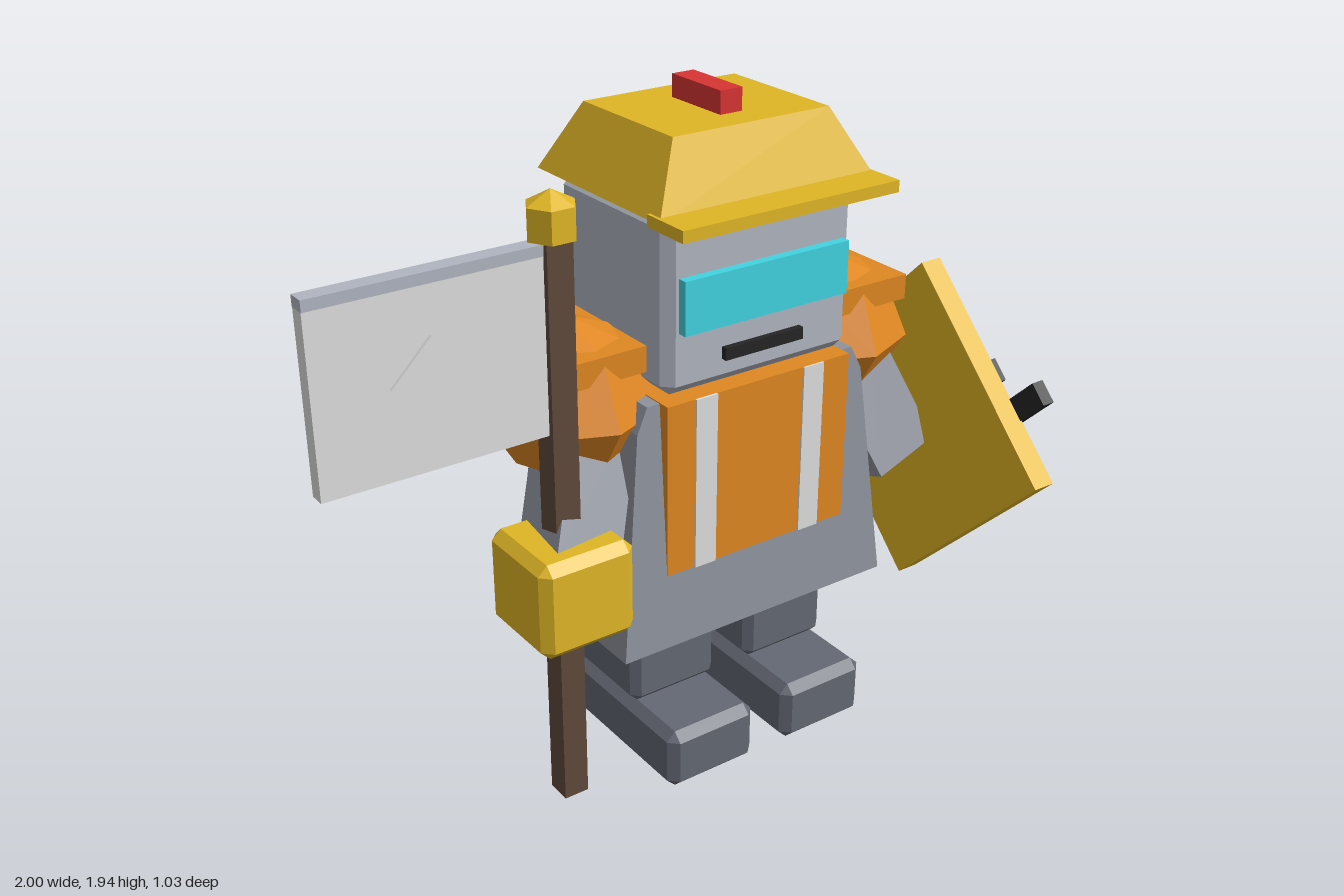
import * as THREE from 'three';
import { ConvexGeometry } from 'three/addons/geometries/ConvexGeometry.js';

const CX = 0.27, CZ = -0.22; // centre of the body, offset by the flag

function mat(name, color, side = THREE.FrontSide) {
  const m = new THREE.MeshStandardMaterial({ color, side, flatShading: true });
  m.name = name;
  return m;
}

// Box given by its limits on each axis
function box(x0, x1, y0, y1, z0, z1) {
  return new THREE.BoxGeometry(x1 - x0, y1 - y0, z1 - z0)
    .translate((x0 + x1) / 2, (y0 + y1) / 2, (z0 + z1) / 2);
}

// Box with all edges chamfered by b
function chamferBox(x0, x1, y0, y1, z0, z1, b) {
  const w = (x1 - x0) / 2, h = (y1 - y0) / 2, d = (z1 - z0) / 2, pts = [];
  for (const i of [-1, 1]) for (const j of [-1, 1]) for (const k of [-1, 1]) {
    pts.push(new THREE.Vector3(i * w, j * (h - b), k * (d - b)));
    pts.push(new THREE.Vector3(i * (w - b), j * h, k * (d - b)));
    pts.push(new THREE.Vector3(i * (w - b), j * (h - b), k * d));
  }
  return new ConvexGeometry(pts).translate((x0 + x1) / 2, (y0 + y1) / 2, (z0 + z1) / 2);
}

// Rectangular shell through levels [y, halfX, halfZ], closed on top, open below
function shell(levels, cx, cz) {
  const pos = [];
  const corner = ([y, w, d], i) => [cx + [-w, w, w, -w][i % 4], y, cz + [d, d, -d, -d][i % 4]];
  const quad = (a, b, c, d) => pos.push(...a, ...b, ...c, ...a, ...c, ...d);
  for (let l = 0; l < levels.length - 1; l++) {
    for (let i = 0; i < 4; i++) {
      quad(corner(levels[l], i), corner(levels[l], i + 1),
        corner(levels[l + 1], i + 1), corner(levels[l + 1], i));
    }
  }
  const top = levels[levels.length - 1];
  quad(corner(top, 0), corner(top, 1), corner(top, 2), corner(top, 3));
  const g = new THREE.BufferGeometry();
  g.setAttribute('position', new THREE.Float32BufferAttribute(pos, 3));
  g.computeVertexNormals();
  return g;
}

export function createModel() {
  const yellow = mat('yellow', 0xe0b626, THREE.DoubleSide);
  const orange = mat('orange', 0xdf8722);
  const coatGrey = mat('coat grey', 0x8e929c, THREE.DoubleSide);
  const headGrey = mat('head grey', 0xb0b5c0);
  const bootGrey = mat('boot grey', 0x646873);
  const cyan = mat('visor cyan', 0x42d3e0);
  const black = mat('black', 0x252525);
  const brown = mat('wood brown', 0x60493a);
  const red = mat('red', 0xd83434);
  const white = mat('pale grey', 0xdedede);

  const group = new THREE.Group();
  group.name = 'flagBearer';
  const add = (name, geometry, material, parent = group) => {
    const m = new THREE.Mesh(geometry, material);
    m.name = name;
    parent.add(m);
    return m;
  };

  // Legs, boots and shoulders on both sides
  for (const s of [-1, 1]) {
    const side = s > 0 ? 'left' : 'right';
    const x = CX + s * 0.205;
    add(side + 'Leg', chamferBox(x - 0.147, x + 0.147, 0.19, 0.7, -0.395, -0.045, 0.025), bootGrey);
    add(side + 'Boot', chamferBox(x - 0.15, x + 0.15, 0, 0.19, -0.41, 0.15, 0.028), bootGrey);

    const sx = CX + s * 0.44;
    const profile = [[0, 0.97], [0.17, 0.99], [0.255, 1.13], [0.18, 1.31], [0, 1.38]]
      .map(([r, y]) => new THREE.Vector2(r, y));
    add(side + 'Shoulder', new THREE.LatheGeometry(profile, 8).translate(sx, 0, CZ), orange);
    add(side + 'ShoulderPad', box(sx - 0.16, sx + 0.16, 1.25, 1.325, CZ - 0.185, CZ + 0.185), orange);
  }

  // Coat, vest and its two stripes
  add('coat', shell([[0.445, 0.46, 0.295], [1.11, 0.385, 0.25], [1.18, 0.35, 0.245]], CX, CZ), coatGrey);
  add('vest', box(-0.04, 0.58, 0.67, 1.183, -0.44, 0.062), orange);
  for (const x of [0.085, 0.45]) {
    add('vestStripe', box(x - 0.035, x + 0.035, 0.67, 1.183, 0.06, 0.068), white);
  }

  // Arms as boxes from shoulder to hand
  const arm = (name, from, to, w) => {
    const a = new THREE.Vector3(...from), b = new THREE.Vector3(...to);
    const m = add(name, new THREE.BoxGeometry(w, a.distanceTo(b), w), coatGrey);
    m.position.copy(a).add(b).multiplyScalar(0.5);
    m.quaternion.setFromUnitVectors(new THREE.Vector3(0, 1, 0), a.sub(b).normalize());
  };
  arm('rightArm', [-0.12, 1.12, -0.2], [-0.32, 0.78, 0], 0.2);
  arm('leftArm', [0.69, 1.15, -0.2], [0.83, 0.75, -0.03], 0.22);
  add('rightGlove', chamferBox(-0.48, -0.19, 0.585, 0.87, -0.15, 0.14, 0.028), yellow);

  // Head
  add('head', chamferBox(-0.04, 0.58, 1.2, 1.69, -0.455, 0.055, 0.03), headGrey);
  add('visor', box(0, 0.54, 1.38, 1.53, 0.04, 0.083), cyan);
  add('mouth', box(0.14, 0.4, 1.275, 1.31, 0.04, 0.073), black);

  // Helmet with brim and crest
  add('helmet', shell([[1.695, 0.348, 0.288], [1.88, 0.25, 0.205]], CX, -0.207), yellow);
  add('helmetBrim', box(-0.08, 0.615, 1.677, 1.71, 0.03, 0.183), yellow);
  add('helmetCrest', box(0.235, 0.305, 1.8, 1.943, -0.31, -0.095), red);

  // Flag pole with finial
  add('flagPole', box(-0.375, -0.3, 0.04, 1.72, -0.037, 0.037), brown);
  const finial = (r, h, y) => new THREE.CylinderGeometry(r, 0.068, h, 6)
    .rotateY(Math.PI / 6).translate(-0.338, y + h / 2, 0);
  add('finial', finial(0.068, 0.085, 1.695), yellow);
  add('finialTip', finial(0, 0.037, 1.78), yellow);

  // Flag with a top bar and a raised diamond
  add('flag', box(-1, -0.37, 1.18, 1.66, -0.025, 0.02), white);
  add('flagTopBar', box(-1, -0.37, 1.66, 1.69, -0.027, 0.022), headGrey);
  const diamond = add('flagDiamond', new THREE.BoxGeometry(0.16, 0.16, 0.015), white);
  diamond.position.set(-0.69, 1.42, 0.0215);
  diamond.rotation.z = Math.PI / 4;

  // Diamond shield with three ribs, carried on the left
  const shield = new THREE.Group();
  shield.name = 'shield';
  group.add(shield);
  const plate = add('shieldPlate', new THREE.BoxGeometry(0.07, 0.729, 0.729), yellow, shield);
  plate.position.set(0.93, 0.85, 0);
  plate.rotation.x = Math.PI / 4;
  for (const z of [-0.185, 0, 0.185]) {
    const rib = add('shieldRib', new THREE.BoxGeometry(0.04, 0.69, 0.07), black, shield);
    rib.position.set(0.98, 0.85, z);
    rib.rotation.x = Math.PI / 4;
  }

  return group;
}
